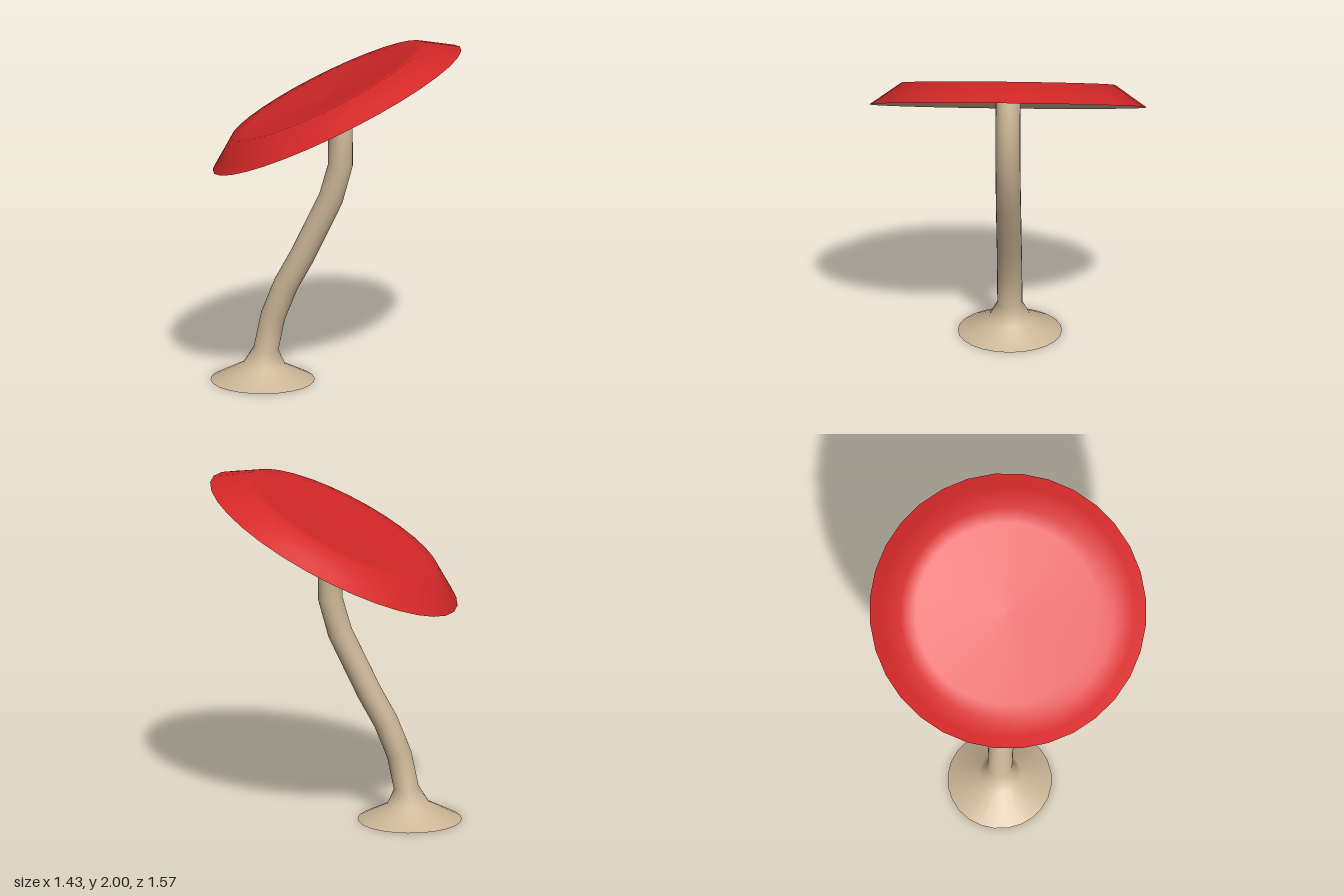
import * as THREE from 'three';

const TILT = 0.469;
const CAP_CENTRE = [0.01, 1.615, 0];

function paint(name, color) {
  const m = new THREE.MeshStandardMaterial({ color });
  m.name = name;
  return m;
}

function part(name, geometry, material) {
  const mesh = new THREE.Mesh(geometry, material);
  mesh.name = name;
  return mesh;
}

const lathe = (points) => new THREE.LatheGeometry(points.map(([r, y]) => new THREE.Vector2(r, y)), 32);

// Smooth skin through rings [x, y, radius, lean]; lean turns a ring about z
function ringSkin(rings, sides) {
  const pos = [], index = [];
  for (const [x, y, r, lean] of rings) {
    for (let i = 0; i < sides; i++) {
      const a = (i / sides) * Math.PI * 2;
      const u = r * Math.cos(a);
      pos.push(x + u * Math.cos(lean), y + u * Math.sin(lean), r * Math.sin(a));
    }
  }
  for (let j = 0; j < rings.length - 1; j++) {
    for (let i = 0; i < sides; i++) {
      const k = (i + 1) % sides;
      const a = j * sides + i, b = j * sides + k;
      index.push(a, a + sides, b, b, a + sides, b + sides);
    }
  }
  const g = new THREE.BufferGeometry();
  g.setAttribute('position', new THREE.Float32BufferAttribute(pos, 3));
  g.setIndex(index);
  g.computeVertexNormals();
  return g;
}

export function createModel() {
  const model = new THREE.Group();
  model.name = 'mushroom';
  const red = paint('cap red', 0xd62828);
  const tan = paint('stem tan', 0xcbb595);
  const dark = paint('gill brown', 0x2e2018);

  // Bent stem with a flared foot
  const stem = ringSkin([
    [-0.42, 0, 0.295, 0],
    [-0.41, 0.09, 0.12, -0.06],
    [-0.4, 0.185, 0.071, -0.14],
    [-0.36, 0.38, 0.071, -0.28],
    [-0.285, 0.57, 0.071, -0.43],
    [-0.19, 0.745, 0.071, -0.47],
    [-0.105, 0.925, 0.071, -0.46],
    [-0.025, 1.095, 0.071, -0.38],
    [0.03, 1.295, 0.07, -0.12],
    [0.03, 1.49, 0.07, 0.14],
    [-0.015, 1.63, 0.07, 0.4],
    [-0.028, 1.686, 0.066, TILT],
  ], 24);
  model.add(part('stem', stem, tan));

  // Underside of the foot
  const sole = part('footUnderside', new THREE.CircleGeometry(0.295, 24), tan);
  sole.rotation.x = Math.PI / 2;
  sole.position.x = -0.42;
  model.add(sole);

  // Tilted cap: slightly dished top with a bevelled edge, hollow underside
  const cap = new THREE.Group();
  cap.name = 'cap';
  cap.position.set(...CAP_CENTRE);
  cap.rotation.z = TILT;
  cap.add(
    part('capTop', lathe([[0.785, 0], [0.72, 0.045], [0.606, 0.125], [0.52, 0.122], [0.3, 0.105], [0, 0.094]]), red),
    part('capUnderRim', lathe([[0.69, 0.04], [0.74, 0.014], [0.785, 0]]), tan),
    part('gills', lathe([[0.26, 0.075], [0.5, 0.06], [0.69, 0.04]]), dark),
    part('gillCentre', lathe([[0, 0.082], [0.26, 0.075]]), tan),
  );
  model.add(cap);
  return model;
}
